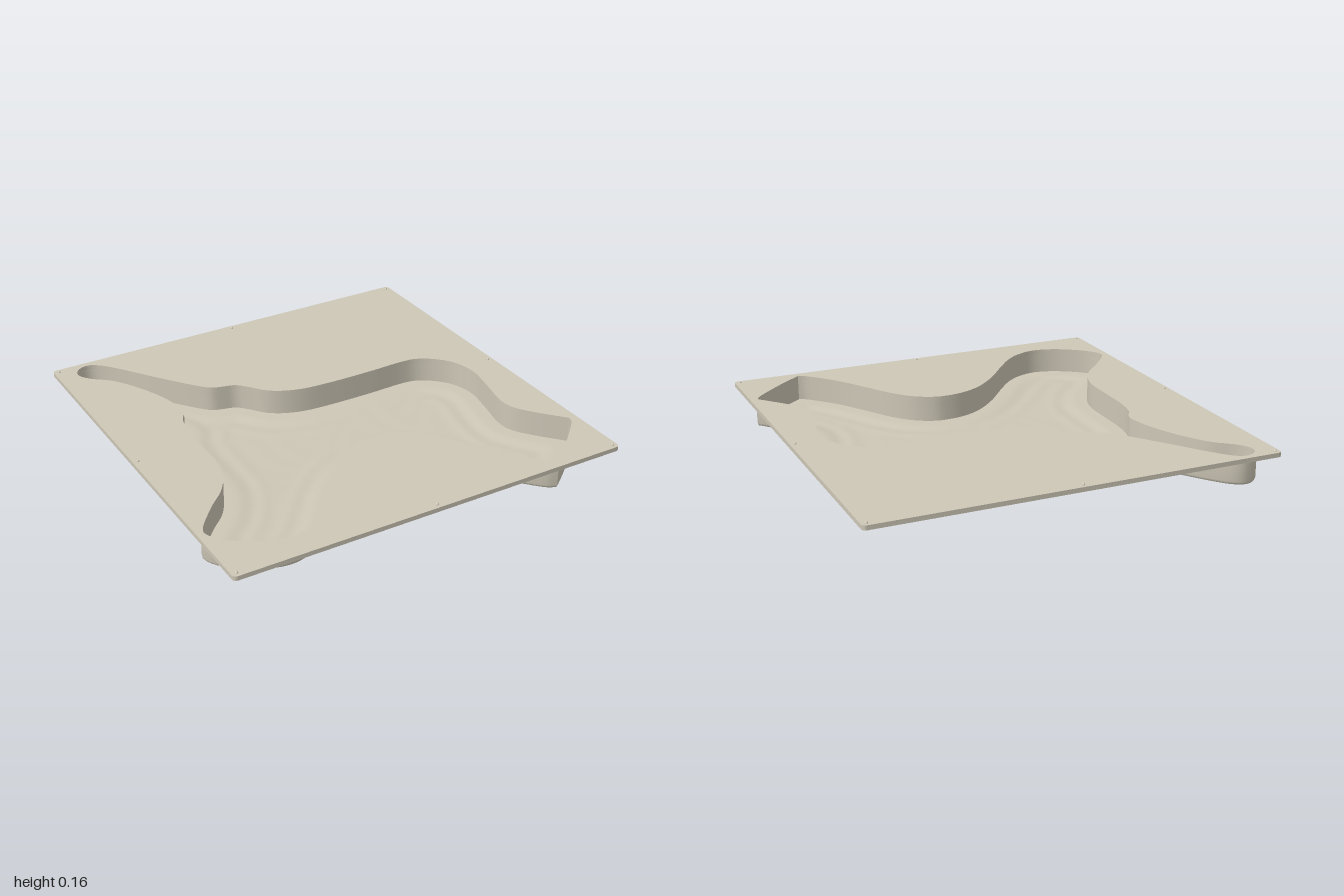
import * as THREE from 'three';
import { toCreasedNormals } from 'three/addons/utils/BufferGeometryUtils.js';

const TOP = 0.15, PLATE = 0.022, SKIN = 0.01;

// Outline of the recess as x, z pairs, between its two sharp corners
const SIDE = [
  0.67, 0.96, 0.62, 0.93, 0.5, 0.79, 0.4, 0.63, 0.32, 0.5, 0.24, 0.41, 0.15, 0.36, 0.08, 0.35,
  -0.02, 0.365, -0.13, 0.42, -0.25, 0.53, -0.37, 0.675, -0.46, 0.775, -0.55, 0.84, -0.66, 0.87,
  -0.78, 0.84, -0.9, 0.76, -0.96, 0.68, -0.95, 0.62, -0.85, 0.5, -0.76, 0.41, -0.7, 0.31,
  -0.67, 0.2, -0.665, 0, -0.66, -0.12, -0.64, -0.23, -0.605, -0.29, -0.6, -0.35, -0.63, -0.48,
  -0.69, -0.62, -0.77, -0.75, -0.86, -0.83, -0.9, -0.89, -0.89, -0.94, -0.84, -0.97, -0.78, -0.95,
  -0.7, -0.86, -0.58, -0.69, -0.46, -0.53, -0.39, -0.45, -0.34, -0.43, -0.27, -0.41, -0.22, -0.36,
  -0.16, -0.285, -0.08, -0.235, 0.03, -0.205, 0.2, -0.195, 0.4, -0.195, 0.58, -0.2, 0.67, -0.185,
  0.75, -0.13, 0.81, -0.05, 0.835, 0.07, 0.81, 0.22, 0.78, 0.36, 0.785, 0.45, 0.84, 0.54, 0.96, 0.68,
];
const END = [0.96, 0.68, 0.945, 0.715, 0.87, 0.79, 0.77, 0.88, 0.67, 0.96];

function spline(flat, n) {
  const pts = [];
  for (let i = 0; i < flat.length; i += 2) pts.push(new THREE.Vector2(flat[i], flat[i + 1]));
  return new THREE.SplineCurve(pts).getSpacedPoints(n).slice(0, -1);
}

// Sweep an [offset, y] profile around the closed outline
function sweep(outline, profile) {
  const n = outline.length, pos = [], idx = [];
  for (const [off, y] of profile) {
    for (let i = 0; i < n; i++) {
      const a = outline[(i + n - 1) % n], b = outline[(i + 1) % n];
      const t = b.clone().sub(a).normalize();
      pos.push(outline[i].x + t.y * off, y, outline[i].y - t.x * off);
    }
  }
  for (let j = 0; j < profile.length - 1; j++) {
    for (let i = 0; i < n; i++) {
      const k = (i + 1) % n, a = j * n + i, b = j * n + k;
      idx.push(a, b, a + n, b, b + n, a + n);
    }
  }
  const g = new THREE.BufferGeometry();
  g.setAttribute('position', new THREE.Float32BufferAttribute(pos, 3));
  g.setIndex(idx);
  return toCreasedNormals(g, 0.6);
}

// Nearest outline point, and whether p lies inside
function locate(outline, x, z) {
  let best = Infinity, near = null, inside = false;
  for (let i = 0, j = outline.length - 1; i < outline.length; j = i++) {
    const a = outline[i], b = outline[j];
    const d = (a.x - x) ** 2 + (a.y - z) ** 2;
    if (d < best) { best = d; near = a; }
    if ((a.y > z) !== (b.y > z) && x < (b.x - a.x) * (z - a.y) / (b.y - a.y) + a.x) inside = !inside;
  }
  return { near, inside, dist: Math.sqrt(best) };
}

// Gently rippled floor: a grid whose outer vertices snap to the outline
function floorGeometries(outline) {
  const N = 100, pos = [], ins = [], up = [], down = [];
  for (let j = 0; j <= N; j++) {
    for (let i = 0; i <= N; i++) {
      let x = -1 + 2 * i / N, z = -1 + 2 * j / N;
      const { near, inside, dist } = locate(outline, x, z);
      let y = 0.012;
      if (inside) {
        const s = THREE.MathUtils.smoothstep(dist, 0.06, 0.14);
        const ripple = Math.sin(x * 31 + 3 * Math.sin(z * 9)) * Math.sin(z * 27 + 2 * Math.sin(x * 11));
        y -= s * (0.0095 - 0.003 * Math.exp(-(((dist - 0.18) / 0.03) ** 2)) - 0.0006 * ripple);
        y = Math.max(0, y);
      } else { x = near.x; z = near.y; }
      pos.push(x, y, z);
      ins.push(inside);
    }
  }
  for (let j = 0; j < N; j++) {
    for (let i = 0; i < N; i++) {
      const a = j * (N + 1) + i, b = a + 1, c = a + N + 1, d = c + 1;
      if (!(ins[a] || ins[b] || ins[c] || ins[d])) continue;
      up.push(a, c, b, b, c, d);
      down.push(a, b, c, b, d, c);
    }
  }
  return [up, down].map((index, k) => {
    const g = new THREE.BufferGeometry();
    g.setAttribute('position', new THREE.Float32BufferAttribute(pos, 3));
    g.setIndex(index);
    if (k === 0) g.translate(0, SKIN, 0);
    g.computeVertexNormals();
    return g;
  });
}

export function createModel() {
  const model = new THREE.Group();
  const clay = new THREE.MeshStandardMaterial({ color: 0xcdc7b6 });
  clay.name = 'warm grey';
  const add = (name, geometry) => {
    const mesh = new THREE.Mesh(geometry, clay);
    mesh.name = name;
    model.add(mesh);
    return mesh;
  };
  const outline = [...spline(SIDE, 300), ...spline(END, 24)];

  // Square plate with small rounded corners and the recess cut out
  const r = 0.02, plate = new THREE.Shape();
  [[1, 1, 0], [-1, 1, 1], [-1, -1, 2], [1, -1, 3]].forEach(([sx, sy, q]) =>
    plate.absarc(sx * (1 - r), sy * (1 - r), r, q * Math.PI / 2, (q + 1) * Math.PI / 2));
  plate.closePath();
  plate.holes.push(new THREE.Path(outline.map(p => new THREE.Vector2(p.x, -p.y))));
  const plateGeo = new THREE.ExtrudeGeometry(plate, { depth: PLATE, bevelEnabled: false, curveSegments: 4 });
  plateGeo.rotateX(-Math.PI / 2).translate(0, TOP - PLATE, 0);
  add('topPlate', toCreasedNormals(plateGeo, 0.6));

  // Thin recess wall with a rounded lower edge
  add('outerWall', sweep(outline, [[SKIN, TOP - PLATE], [SKIN, 0.026], [0.008, 0.018], [0.004, 0.013], [0, 0.012]]));
  add('innerWall', sweep(outline, [[0, 0.02], [0, TOP - PLATE]]));

  // Recess floor, upper and lower skins
  const [top, bottom] = floorGeometries(outline);
  add('floorTop', top);
  add('floorUnderside', bottom);

  // Tiny locating pips around the rim
  const pip = new THREE.SphereGeometry(0.008, 10, 4, 0, Math.PI * 2, 0, Math.PI / 2);
  for (const x of [-1, 0, 1]) {
    for (const z of [-1, 0, 1]) {
      if (x || z) add('rimPip', pip).position.set(x * 0.975, TOP, z * 0.975);
    }
  }
  return model;
}
